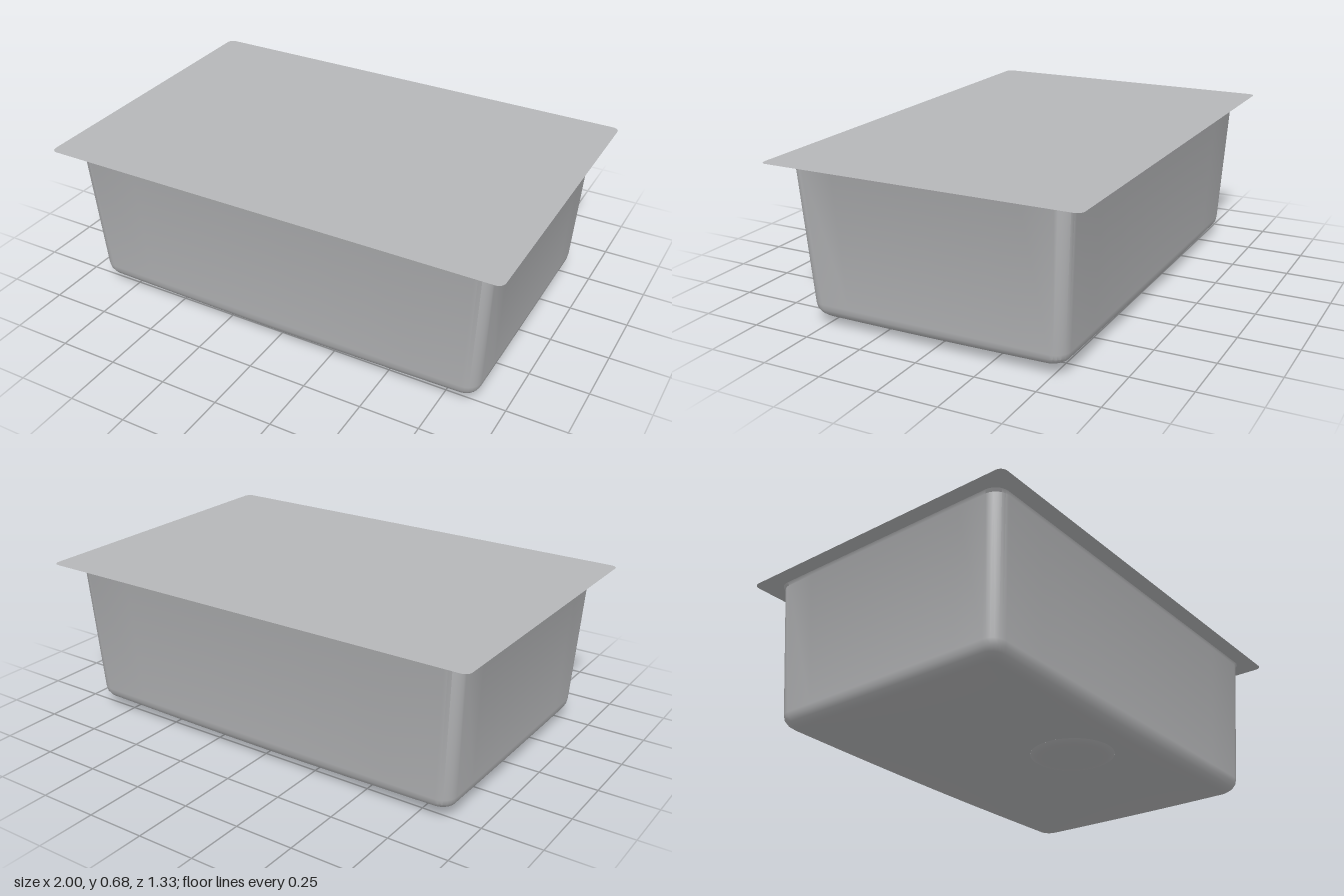
import * as THREE from 'three';
import { toCreasedNormals } from 'three/addons/utils/BufferGeometryUtils.js';

const DRAIN_Z = 0.245, DRAIN_R = 0.175, RIM_Y = 0.683;

// Rounded rectangle outline, subdivided along its straight sides
function roundedRing(hx, hz, r, height) {
  const ring = [], cornerSteps = 6, sideSteps = 8;
  const corners = [[1, 1], [-1, 1], [-1, -1], [1, -1]];
  const arc = (q, t) => {
    const a = (q + t) * Math.PI / 2;
    return [corners[q][0] * (hx - r) + r * Math.cos(a), corners[q][1] * (hz - r) + r * Math.sin(a)];
  };
  for (let q = 0; q < 4; q++) {
    for (let i = 0; i <= cornerSteps; i++) ring.push(arc(q, i / cornerSteps));
    const s = arc(q, 1), e = arc((q + 1) % 4, 0);
    for (let i = 1; i < sideSteps; i++) {
      const t = i / sideSteps;
      ring.push([s[0] + (e[0] - s[0]) * t, s[1] + (e[1] - s[1]) * t]);
    }
  }
  return ring.map(([x, z]) => new THREE.Vector3(x, height(x, z), z));
}

// Skin between successive closed rings, ordered from top to bottom
function loft(rings) {
  const n = rings[0].length, index = [];
  for (let k = 0; k < rings.length - 1; k++) {
    for (let i = 0; i < n; i++) {
      const j = (i + 1) % n;
      const a = k * n + i, b = k * n + j, c = a + n, d = b + n;
      index.push(a, b, c, b, d, c);
    }
  }
  const geometry = new THREE.BufferGeometry().setFromPoints(rings.flat());
  geometry.setIndex(index);
  return toCreasedNormals(geometry, 0.5);
}

export function createModel() {
  const group = new THREE.Group();
  const steel = new THREE.MeshStandardMaterial({ color: 0xb5b6b8, side: THREE.DoubleSide });
  steel.name = 'brushed steel';
  const add = (name, geometry) => {
    const mesh = new THREE.Mesh(geometry, steel);
    mesh.name = name;
    group.add(mesh);
    return mesh;
  };

  // Flat sheet with small rounded corners
  const outline = roundedRing(1, 0.667, 0.03, () => 0).map(p => new THREE.Vector2(p.x, p.z));
  const sheet = new THREE.ShapeGeometry(new THREE.Shape(outline));
  sheet.rotateX(-Math.PI / 2);
  add('topSheet', sheet).position.y = RIM_Y;

  // Floor falls gently towards the drain
  const floorY = (x, z) => 0.016 + 0.026 * Math.max(0, Math.hypot(x, z - DRAIN_Z) - DRAIN_R);

  // Tapered walls, curved lower edge and sloping floor
  const rings = [
    roundedRing(0.932, 0.595, 0.06, () => RIM_Y),
    roundedRing(0.925, 0.59, 0.06, () => RIM_Y - 0.012),
    roundedRing(0.893, 0.558, 0.06, () => 0.095),
  ];
  for (let i = 1; i <= 4; i++) {
    const a = i / 4 * Math.PI / 2, s = 1 - Math.cos(a);
    rings.push(roundedRing(0.893 - 0.05 * s, 0.558 - 0.055 * s, 0.06 - 0.02 * s, (x, z) => {
      const y = floorY(x, z);
      return y + (0.095 - y) * (1 - Math.sin(a));
    }));
  }
  const floorEdge = rings[rings.length - 1];
  rings.push(floorEdge.map(p => {
    const a = Math.atan2(p.z - DRAIN_Z, p.x);
    return new THREE.Vector3(DRAIN_R * Math.cos(a), 0.016, DRAIN_Z + DRAIN_R * Math.sin(a));
  }));
  add('basin', loft(rings));

  // Shallow stepped drain recess
  const profile = [[0, 0], [0.125, 0], [0.15, 0.004], [0.165, 0.009], [DRAIN_R, 0.016]]
    .map(([r, y]) => new THREE.Vector2(r, y));
  const drain = toCreasedNormals(new THREE.LatheGeometry(profile, 40), 0.5);
  add('drainRecess', drain).position.z = DRAIN_Z;

  return group;
}
